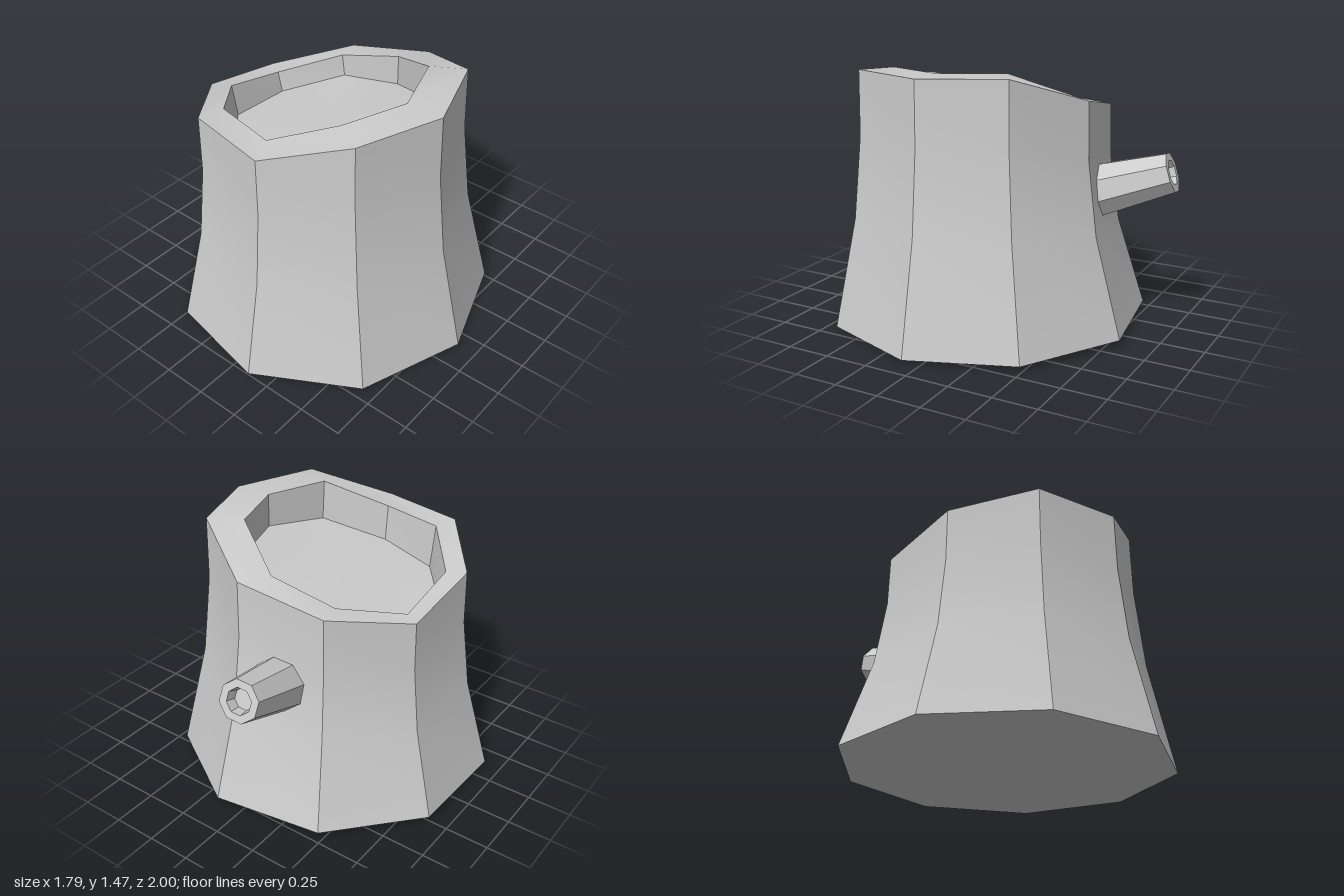
import * as THREE from 'three';
import { toCreasedNormals } from 'three/addons/utils/BufferGeometryUtils.js';

const SIDES = 9;
const CREASE = 0.5;

// Irregular nine-sided outlines, listed from +x round towards +z: [x, z] or [x, y, z]
const footXZ = [[0.89, 0.10], [0.67, 0.69], [0.11, 0.995], [-0.50, 0.875], [-0.90, 0.38],
  [-0.89, -0.25], [-0.475, -0.72], [0.15, -0.82], [0.69, -0.49]];
const top = [[0.695, 1.465, 0.11], [0.52, 1.46, 0.58], [0.09, 1.325, 0.815], [-0.40, 1.325, 0.72],
  [-0.70, 1.235, 0.335], [-0.69, 1.15, -0.16], [-0.37, 1.23, -0.52], [0.12, 1.325, -0.595], [0.54, 1.475, -0.345]];
const rimXZ = [[0.48, 0.115], [0.345, 0.47], [0.01, 0.65], [-0.36, 0.575], [-0.60, 0.28],
  [-0.60, -0.10], [-0.345, -0.385], [0.02, -0.44], [0.36, -0.24]];
const floorY = [1.27, 1.23, 1.115, 1.07, 1.05, 1.03, 1.10, 1.145, 1.28];

// Skins a stack of rings; a ring with a single point closes it as a fan
function skin(rings) {
  const pos = [];
  for (let i = 0; i < rings.length - 1; i++) {
    const lo = rings[i], hi = rings[i + 1];
    for (let k = 0; k < SIDES; k++) {
      const n = (k + 1) % SIDES;
      const a = lo[k % lo.length], b = lo[n % lo.length];
      const c = hi[n % hi.length], d = hi[k % hi.length];
      if (c !== d) pos.push(...a, ...d, ...c);
      if (a !== b) pos.push(...a, ...c, ...b);
    }
  }
  const g = new THREE.BufferGeometry();
  g.setAttribute('position', new THREE.Float32BufferAttribute(pos, 3));
  return toCreasedNormals(g, CREASE);
}

export function createModel() {
  const group = new THREE.Group();
  group.name = 'treeStump';
  const material = new THREE.MeshStandardMaterial({ color: 0xcccccc });
  const add = (name, geometry) => {
    const mesh = new THREE.Mesh(geometry, material);
    mesh.name = name;
    group.add(mesh);
    return mesh;
  };

  // Trunk: slightly tilted foot, flaring sides, slanted rim and a sunken floor
  const foot = footXZ.map(([x, z]) => [x, 0.02 * (1 - z), z]);
  const wall = (height, flare) => top.map(([x, y, z], k) => {
    const f = foot[k];
    return [x + (f[0] - x) * flare, f[1] + (y - f[1]) * height, z + (f[2] - z) * flare];
  });
  const rim = rimXZ.map(([x, z], k) => [x, top[k][1], z]);
  const floor = rimXZ.map(([x, z], k) => [x < 0 ? x * 0.955 : x, floorY[k], z > 0 ? z * 0.97 : z]);
  add('trunk', skin([
    [[0, 0.018, 0.09]], foot, wall(0.43, 0.28), wall(0.75, 0.03), top, rim, floor, [[-0.05, 1.13, 0.1]],
  ]));

  // Cut branch: tapered eight-sided stub with a hollow end
  const start = new THREE.Vector3(-0.115, 0.765, -0.5);
  const tip = new THREE.Vector3(-0.18, 0.92, -0.965);
  const axis = tip.clone().sub(start);
  const len = axis.length();
  const profile = [[0, 0], [0.16, 0], [0.115, len], [0.072, len], [0.06, len - 0.06], [0, len - 0.06]]
    .map(([r, y]) => new THREE.Vector2(r, y));
  const branch = add('branch', toCreasedNormals(new THREE.LatheGeometry(profile, 8, Math.PI / 8), CREASE));
  branch.position.copy(start);
  branch.quaternion.setFromUnitVectors(new THREE.Vector3(0, 1, 0), axis.normalize());

  return group;
}
